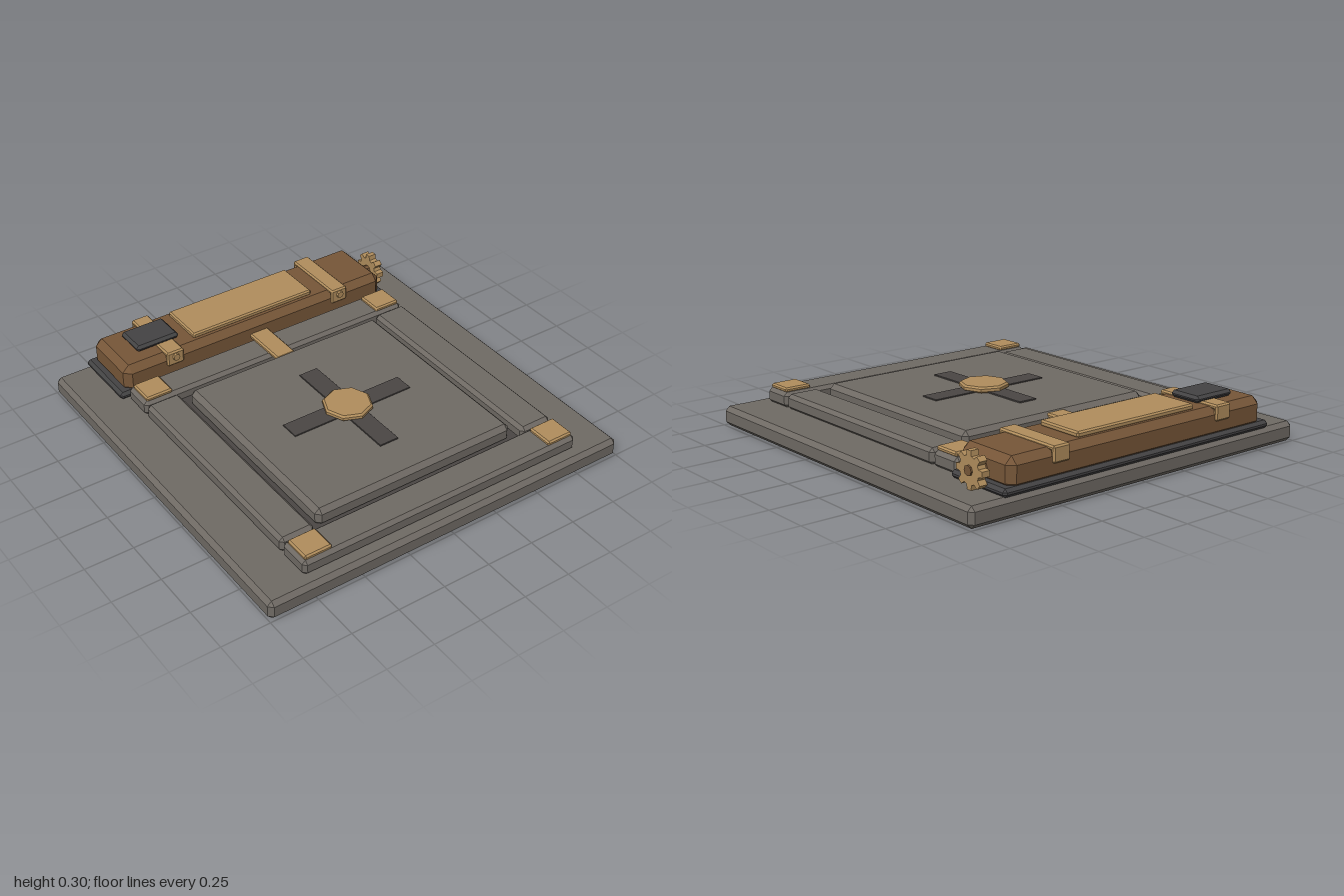
import * as THREE from 'three';
import { ConvexGeometry } from 'three/addons/geometries/ConvexGeometry.js';

const mat = (name, color) => {
  const m = new THREE.MeshStandardMaterial({ color, flatShading: true });
  m.name = name;
  return m;
};

// Box with chamfered edges, given by its lower and upper limits on each axis
function chamferBox([x0, x1], [y0, y1], [z0, z1], c) {
  const h = [(x1 - x0) / 2, (y1 - y0) / 2, (z1 - z0) / 2];
  const pts = [];
  for (const sx of [-1, 1]) for (const sy of [-1, 1]) for (const sz of [-1, 1])
    for (let a = 0; a < 3; a++) {
      const k = h.map((v, i) => (i === a ? v : v - c));
      pts.push(new THREE.Vector3(sx * k[0], sy * k[1], sz * k[2]));
    }
  return new ConvexGeometry(pts).translate((x0 + x1) / 2, (y0 + y1) / 2, (z0 + z1) / 2);
}

export function createModel() {
  const stone = mat('stone', 0x6f6a64);
  const darkStone = mat('dark stone', 0x4a4644);
  const iron = mat('iron', 0x444344);
  const wood = mat('brown wood', 0x765638);
  const brass = mat('brass', 0xb08d5c);

  const model = new THREE.Group();
  model.name = 'pressurePlateMechanism';
  const add = (name, geometry, material) => {
    const m = new THREE.Mesh(geometry, material);
    m.name = name;
    model.add(m);
    return m;
  };
  const box = (name, material, x, y, z, c) => add(name, chamferBox(x, y, z, c), material);

  // Floor slab and recess
  box('baseSlab', stone, [-1, 1], [0, 0.1], [-1, 1], 0.022);
  box('recessFloor', darkStone, [-0.61, 0.61], [0.09, 0.12], [-0.46, 0.77], 0.004);

  // Raised frame with brass corners
  box('frontFrame', stone, [-0.78, 0.78], [0.095, 0.175], [0.76, 0.935], 0.018);
  box('backFrame', stone, [-0.78, 0.78], [0.095, 0.175], [-0.625, -0.45], 0.018);
  for (const s of [-1, 1]) {
    const span = (a, b) => (s > 0 ? [a, b] : [-b, -a]);
    box('sideFrame', stone, span(0.6, 0.78), [0.095, 0.175], [-0.445, 0.755], 0.018);
    box('frontCorner', brass, span(0.62, 0.765), [0.17, 0.195], [0.78, 0.92], 0.008);
    box('backCorner', brass, span(0.62, 0.765), [0.17, 0.195], [-0.602, -0.46], 0.008);
  }

  // Pressure plate with cross inlay and boss
  box('pressurePlate', stone, [-0.56, 0.56], [0.105, 0.2], [-0.403, 0.717], 0.024);
  box('crossBar', darkStone, [-0.34, 0.34], [0.198, 0.206], [0.103, 0.207], 0.001);
  box('crossPost', darkStone, [-0.052, 0.052], [0.198, 0.207], [-0.185, 0.495], 0.001);
  const boss = [[0, 0.2], [0.115, 0.2], [0.125, 0.208], [0.125, 0.222], [0.115, 0.231], [0, 0.231]];
  add('centreBoss', new THREE.LatheGeometry(boss.map(p => new THREE.Vector2(...p)), 8), brass)
    .position.z = 0.155;

  // Housing along the back edge
  box('housingBase', iron, [-0.82, 0.82], [0.098, 0.138], [-1, -0.627], 0.015);
  box('housingBody', wood, [-0.78, 0.78], [0.11, 0.263], [-0.988, -0.637], 0.035);
  box('topPlate', brass, [-0.36, 0.36], [0.258, 0.288], [-0.94, -0.687], 0.008);
  box('topBlock', iron, [-0.66, -0.42], [0.266, 0.3], [-0.904, -0.727], 0.014);

  // Straps over the housing, each with rivets
  for (const x of [-0.5, 0.5]) {
    const w = [x - 0.048, x + 0.048];
    box('strapTop', brass, w, [0.25, 0.274], [-0.998, -0.627], 0.008);
    box('strapFront', brass, w, [0.195, 0.272], [-0.65, -0.627], 0.008);
    box('strapBack', brass, w, [0.195, 0.272], [-0.998, -0.975], 0.008);
    const rivet = new THREE.CylinderGeometry(0.018, 0.02, 0.014, 8).rotateX(Math.PI / 2);
    add('rivet', rivet, brass).position.set(x, 0.244, -0.622);
  }

  // Tongue linking housing and plate
  box('linkTongue', brass, [-0.055, 0.055], [0.17, 0.196], [-0.645, -0.38], 0.008);

  // Side gear and axle
  const outline = [];
  for (let i = 0; i < 8; i++)
    for (const [da, r] of [[-0.26, 0.066], [-0.15, 0.09], [0.15, 0.09], [0.26, 0.066]]) {
      const a = i * Math.PI / 4 + da;
      outline.push(new THREE.Vector2(r * Math.cos(a), r * Math.sin(a)));
    }
  const gearShape = new THREE.Shape(outline);
  gearShape.holes.push(new THREE.Path().absarc(0, 0, 0.024, 0, Math.PI * 2, true));
  const gear = new THREE.ExtrudeGeometry(gearShape, { depth: 0.042, bevelEnabled: false, curveSegments: 4 });
  add('gear', gear.rotateY(Math.PI / 2), brass).position.set(0.818, 0.187, -0.812);
  const axle = new THREE.CylinderGeometry(0.025, 0.025, 0.11, 8).rotateZ(Math.PI / 2);
  add('axle', axle, wood).position.set(0.813, 0.187, -0.812);

  return model;
}
